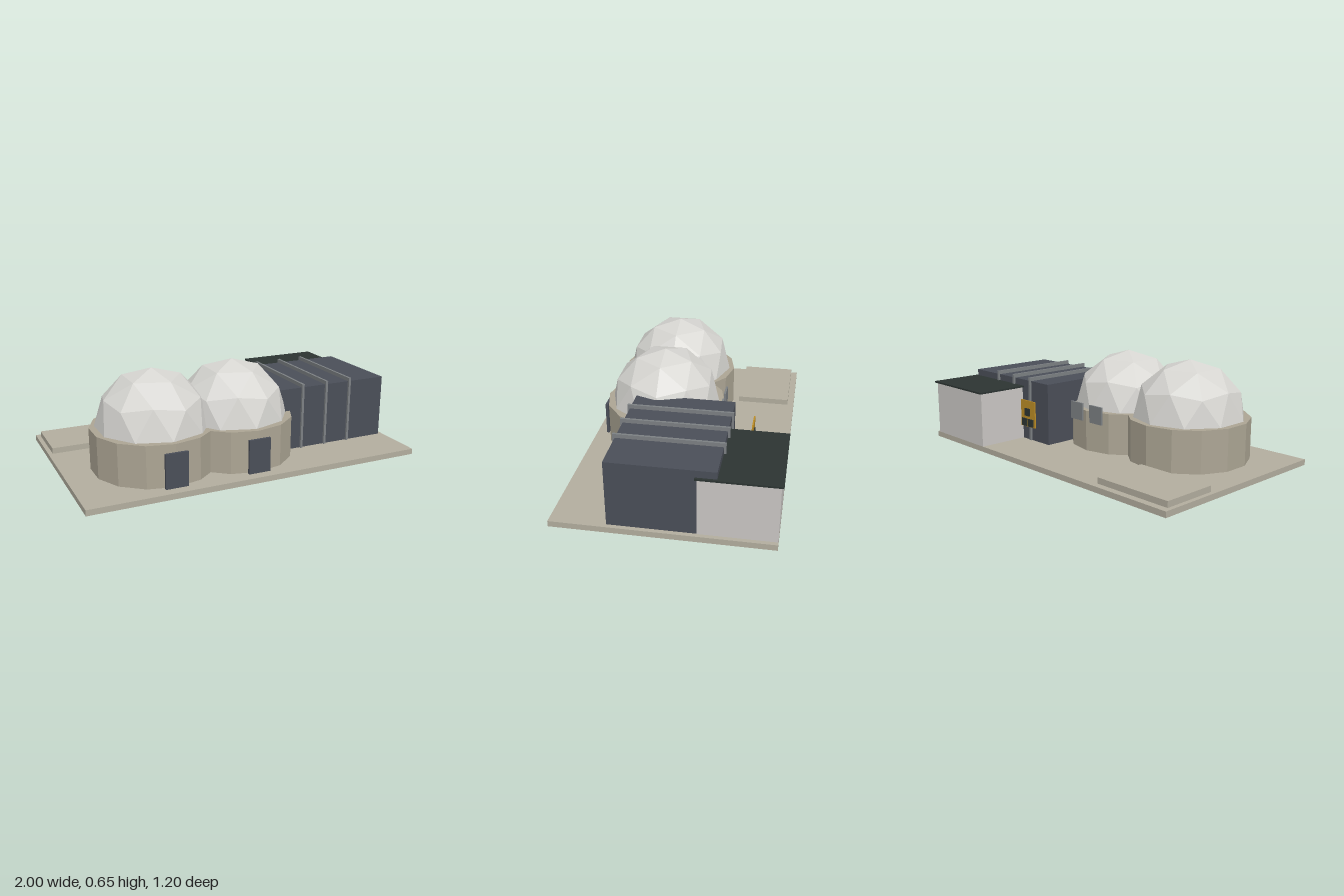
import * as THREE from 'three';

const mat = (name, color, flatShading = false) => {
  const m = new THREE.MeshStandardMaterial({ color, flatShading });
  m.name = name;
  return m;
};

export function createModel() {
  const group = new THREE.Group();
  const concrete = mat('concrete', 0xb2ad9e);
  const ringStone = mat('ringStone', 0xaca594, true);
  const domeWhite = mat('domeWhite', 0xd6d5d1, true);
  const navy = mat('navy', 0x4a4e58);
  const grey = mat('grey', 0x7c8083);
  const wallWhite = mat('wallWhite', 0xcac7c4);
  const roofDark = mat('roofDark', 0x2c3432);
  const gold = mat('gold', 0xbb8c26);

  const add = (name, geo, material, x = 0, y = 0, z = 0) => {
    const m = new THREE.Mesh(geo, material);
    m.name = name;
    m.position.set(x, y, z);
    group.add(m);
    return m;
  };
  // Box given by its extents on each axis
  const box = (name, material, [x0, x1], [y0, y1], [z0, z1]) =>
    add(name, new THREE.BoxGeometry(x1 - x0, y1 - y0, z1 - z0), material,
      (x0 + x1) / 2, (y0 + y1) / 2, (z0 + z1) / 2);

  const floor = 0.083;

  // Ground slab and low pad
  box('groundSlab', concrete, [-1, 1], [0.05, floor], [-0.59, 0.596]);
  box('lowPad', concrete, [-0.975, -0.49], [floor, 0.117], [-0.55, -0.226]);

  // Twin domes: full faceted spheres with a vertex at the top, each in a 14-sided ring
  const domeGeo = new THREE.IcosahedronGeometry(0.325, 1);
  domeGeo.rotateZ(-Math.atan(2 / (1 + Math.sqrt(5))));
  const ringGeo = new THREE.CylinderGeometry(0.355, 0.355, 0.325 - floor, 14);
  for (const x of [-0.488, 0]) {
    add('dome', domeGeo, domeWhite, x, 0.325, 0.168);
    add('domeBase', ringGeo, ringStone, x, (0.325 + floor) / 2, 0.168);
    box('door', navy, [x - 0.065, x + 0.065], [floor, 0.28], [0.522, 0.537]);
  }

  // Windows behind the right-hand dome
  for (const x of [-0.083, 0.081]) {
    box('backWindow', grey, [x - 0.051, x + 0.051], [0.26, 0.365], [-0.191, -0.179]);
  }

  // Main hall with bands wrapped around it
  box('hall', navy, [0.24, 0.975], [floor, 0.458], [-0.28, 0.29]);
  for (const x of [0.406, 0.568, 0.731]) {
    box('hallBand', grey, [x - 0.007, x + 0.007], [floor, 0.48], [-0.292, 0.303]);
  }

  // Annex with a thin overhanging roof
  box('annex', wallWhite, [0.488, 0.977], [floor, 0.409], [-0.59, -0.18]);
  box('annexRoof', roofDark, [0.476, 0.988], [0.409, 0.419], [-0.602, -0.168]);

  // Golden panel with three dark squares
  box('panel', gold, [0.225, 0.356], [0.21, 0.37], [-0.394, -0.386]);
  for (const [x, y] of [[0.292, 0.3], [0.321, 0.237], [0.263, 0.237]]) {
    box('panelSquare', roofDark, [x - 0.023, x + 0.023], [y - 0.023, y + 0.023], [-0.4, -0.393]);
  }
  return group;
}
